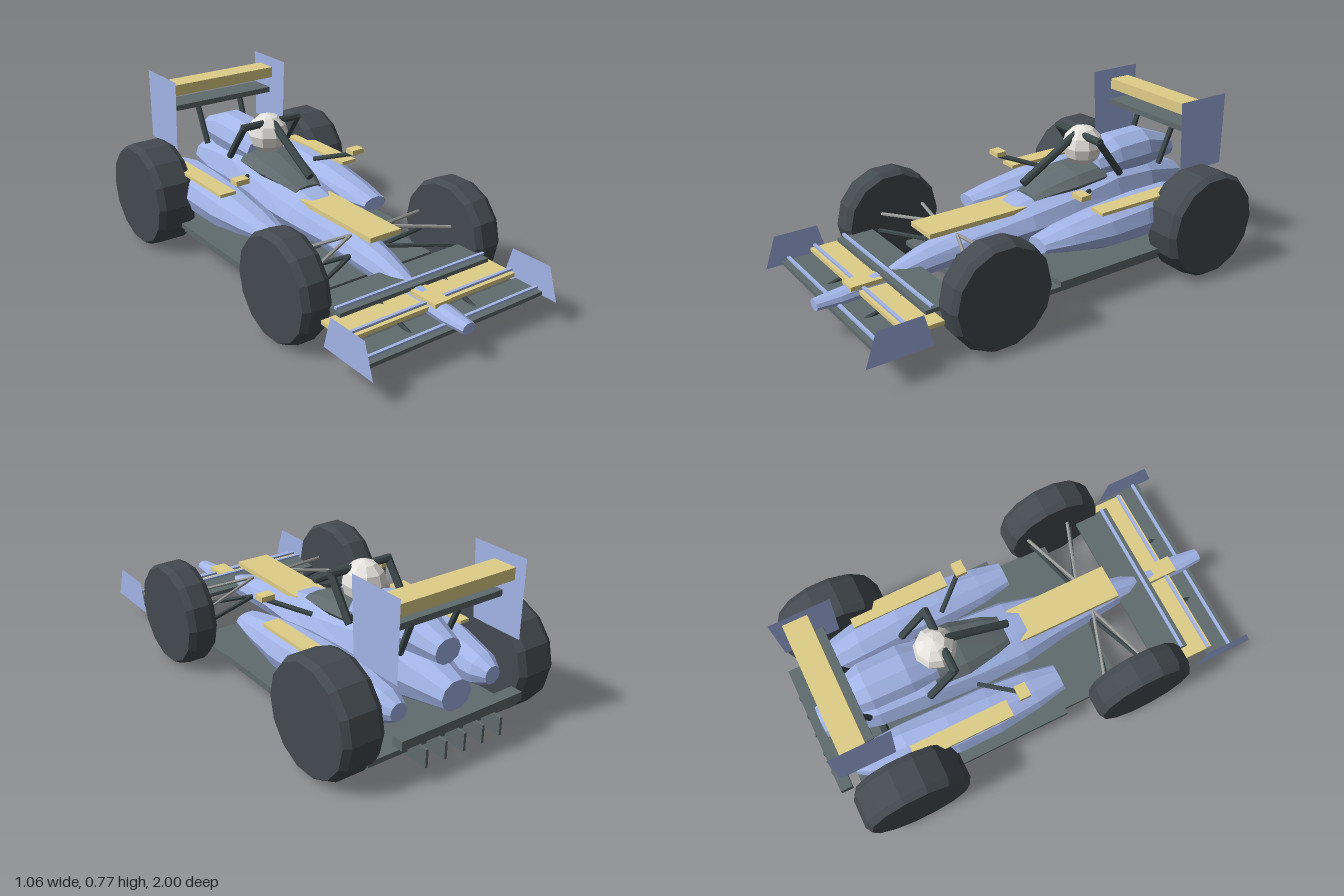
import * as THREE from 'three';

const mat = (color, side = THREE.FrontSide) =>
  new THREE.MeshStandardMaterial({ color, flatShading: true, side });

export function createModel() {
  const car = new THREE.Group();
  car.name = 'racingCar';
  const blue = mat(0xa3b5e8), blueSheet = mat(0xa3b5e8, THREE.DoubleSide);
  const yellow = mat(0xe0ce88), carbon = mat(0x5f6b6e), dark = mat(0x3c484b);
  const rubber = mat(0x434a50), white = mat(0xe6e4de), steel = mat(0x9a9c9a);

  const add = (name, geometry, material) => {
    const mesh = new THREE.Mesh(geometry, material);
    mesh.name = name;
    car.add(mesh);
    return mesh;
  };

  // box given by its extents on each axis
  const box = (name, m, x0, x1, y0, y1, z0, z1) =>
    add(name, new THREE.BoxGeometry(x1 - x0, y1 - y0, z1 - z0), m)
      .position.set((x0 + x1) / 2, (y0 + y1) / 2, (z0 + z1) / 2);

  // round bar between two points
  const bar = (name, m, a, b, r, sides = 6) => {
    const p = new THREE.Vector3(...a), q = new THREE.Vector3(...b);
    const d = q.clone().sub(p);
    const mesh = add(name, new THREE.CylinderGeometry(r, r, d.length(), sides), m);
    mesh.position.copy(p).add(q).multiplyScalar(0.5);
    mesh.quaternion.setFromUnitVectors(new THREE.Vector3(0, 1, 0), d.normalize());
  };

  // closed hull through elliptical sections, front to rear: [z, centreX, halfWidth, bottom, top]
  const loft = (name, m, sections, n = 10) => {
    const pos = [], idx = [];
    for (const [z, cx, w, y0, y1] of sections) {
      for (let j = 0; j < n; j++) {
        const a = (j / n) * Math.PI * 2;
        pos.push(cx + Math.cos(a) * w, (y0 + y1) / 2 + Math.sin(a) * (y1 - y0) / 2, z);
      }
    }
    const last = sections.length - 1;
    for (let i = 0; i < last; i++) {
      for (let j = 0; j < n; j++) {
        const a = i * n + j, b = i * n + (j + 1) % n;
        idx.push(a, a + n, b, b, a + n, b + n);
      }
    }
    for (let j = 1; j < n - 1; j++) {
      idx.push(0, j, j + 1, last * n, last * n + j + 1, last * n + j);
    }
    const g = new THREE.BufferGeometry();
    g.setAttribute('position', new THREE.Float32BufferAttribute(pos, 3));
    g.setIndex(idx);
    g.computeVertexNormals();
    add(name, g, m);
  };

  // thin upright sheet in the z-y plane
  const sheet = (name, x, points) => {
    const shape = new THREE.Shape(points.map(([z, y]) => new THREE.Vector2(-z, y)));
    const mesh = add(name, new THREE.ShapeGeometry(shape), blueSheet);
    mesh.rotation.y = Math.PI / 2;
    mesh.position.x = x;
  };

  const wheel = (name, x, y, z, r, w) => {
    const profile = [[0, -w / 2], [r * 0.93, -w / 2], [r, -w / 2 + 0.03],
      [r, w / 2 - 0.03], [r * 0.93, w / 2], [0, w / 2]].map(p => new THREE.Vector2(...p));
    const mesh = add(name, new THREE.LatheGeometry(profile, 14), rubber);
    mesh.rotation.z = Math.PI / 2;
    mesh.position.set(x, y, z);
  };

  // main hull, engine cover and cockpit surround
  loft('hull', blue, [
    [0.985, 0, 0.034, 0.14, 0.19], [0.88, 0, 0.046, 0.135, 0.2], [0.65, 0, 0.045, 0.14, 0.225],
    [0.49, 0, 0.072, 0.15, 0.28], [0.2, 0, 0.115, 0.18, 0.34], [0, 0, 0.158, 0.19, 0.385],
    [-0.22, 0, 0.168, 0.18, 0.42], [-0.48, 0, 0.16, 0.18, 0.47],
    [-0.7, 0, 0.14, 0.18, 0.45], [-0.94, 0, 0.075, 0.23, 0.36]]);
  loft('engineCover', blue, [
    [-0.4, 0, 0.1, 0.4, 0.53], [-0.52, 0, 0.115, 0.38, 0.578],
    [-0.7, 0, 0.11, 0.38, 0.582], [-0.88, 0, 0.065, 0.4, 0.51]]);
  loft('cockpitSurround', carbon, [
    [-0.05, 0, 0.07, 0.36, 0.4], [-0.12, 0, 0.095, 0.37, 0.43],
    [-0.27, 0, 0.13, 0.37, 0.478], [-0.42, 0, 0.125, 0.38, 0.485]], 8);
  box('nosePanel', yellow, -0.08, 0.08, 0.348, 0.37, 0, 0.49);
  box('noseBlock', yellow, -0.04, 0.04, 0.195, 0.214, 0.69, 0.84);

  // driver's helmet
  add('helmet', new THREE.SphereGeometry(0.095, 9, 6), white).position.set(0, 0.558, -0.37);

  // floor
  box('lowerFloor', carbon, -0.385, 0.385, 0.1, 0.123, -0.9, 0.36);
  box('upperFloor', carbon, -0.418, 0.418, 0.143, 0.166, -0.52, 0.065);

  // diffuser
  box('diffuserBeam', carbon, -0.305, 0.305, 0.19, 0.23, -0.99, -0.935);
  for (let i = -2; i <= 2; i++) {
    box('diffuserFin', carbon, i * 0.095 - 0.006, i * 0.095 + 0.006, 0.08, 0.16, -1, -0.87);
  }

  // front wing: three stepped planes, each with a trim bar [material, halfSpan, y, front, rear, barZ]
  for (const [m, s, y, z1, z0, bz] of [
    [carbon, 0.475, 0.133, 0.925, 0.78, 0.895],
    [yellow, 0.437, 0.18, 0.805, 0.64, 0.785],
    [carbon, 0.39, 0.217, 0.695, 0.525, 0.665]]) {
    box('frontWingPlane', m, -s, s, y - 0.009, y + 0.009, z0, z1);
    box('frontWingTrim', blue, -s, s, y + 0.014, y + 0.024, bz - 0.007, bz + 0.007);
  }

  // rear wing
  box('rearWingFlap', yellow, -0.304, 0.304, 0.675, 0.727, -0.9, -0.79);
  box('rearWingPlane', carbon, -0.265, 0.265, 0.612, 0.638, -0.88, -0.755);

  // halo
  bar('haloPillar', dark, [0, 0.445, -0.035], [0, 0.625, -0.34], 0.019, 8);
  bar('haloCrossbar', dark, [-0.155, 0.617, -0.345], [0.155, 0.617, -0.345], 0.018, 8);
  bar('rearAxle', dark, [-0.4, 0.255, -0.705], [0.4, 0.255, -0.705], 0.018);

  // mirrored parts
  for (const s of [-1, 1]) {
    const span = (a, b) => (s > 0 ? [a, b] : [-b, -a]);

    wheel('frontWheel', s * 0.449, 0.241, 0.41, 0.237, 0.138);
    wheel('rearWheel', s * 0.437, 0.256, -0.706, 0.247, 0.188);

    loft('sidepod', blue, [
      [0.085, s * 0.278, 0.062, 0.255, 0.32], [-0.05, s * 0.278, 0.09, 0.225, 0.35],
      [-0.25, s * 0.28, 0.112, 0.19, 0.382], [-0.45, s * 0.28, 0.115, 0.185, 0.398],
      [-0.65, s * 0.26, 0.1, 0.185, 0.39], [-0.83, s * 0.245, 0.075, 0.21, 0.35],
      [-0.89, s * 0.24, 0.04, 0.24, 0.32]]);
    box('sidepodPanel', yellow, ...span(0.297, 0.375), 0.385, 0.4, -0.64, -0.185);

    box('mirror', yellow, ...span(0.283, 0.348), 0.465, 0.488, -0.14, -0.09);
    bar('mirrorStalk', dark, [s * 0.315, 0.463, -0.115], [s * 0.185, 0.418, -0.265], 0.011);

    bar('haloLeg', dark, [s * 0.147, 0.62, -0.34], [s * 0.15, 0.445, -0.47], 0.017);
    bar('rearWingStrut', dark, [s * 0.12, 0.62, -0.82], [s * 0.115, 0.42, -0.74], 0.014);

    sheet('rearWingEndplate', s * 0.305,
      [[-0.68, 0.777], [-0.95, 0.777], [-0.95, 0.44], [-0.7, 0.44]]);
    sheet('frontWingEndplate', s * 0.477,
      [[0.95, 0.268], [0.75, 0.268], [0.71, 0.123], [1, 0.123]]);
    bar('frontWingStrut', dark, [s * 0.17, 0.13, 0.86], [s * 0.17, 0.215, 0.56], 0.01);

    // front suspension arms
    for (const z of [0.28, 0.5]) {
      bar('upperArm', steel, [s * 0.08, 0.335, 0.36], [s * 0.4, 0.285, z - 0.02], 0.008);
      bar('lowerArm', dark, [s * 0.08, 0.24, 0.36], [s * 0.4, 0.21, z], 0.01);
    }
  }
  return car;
}
